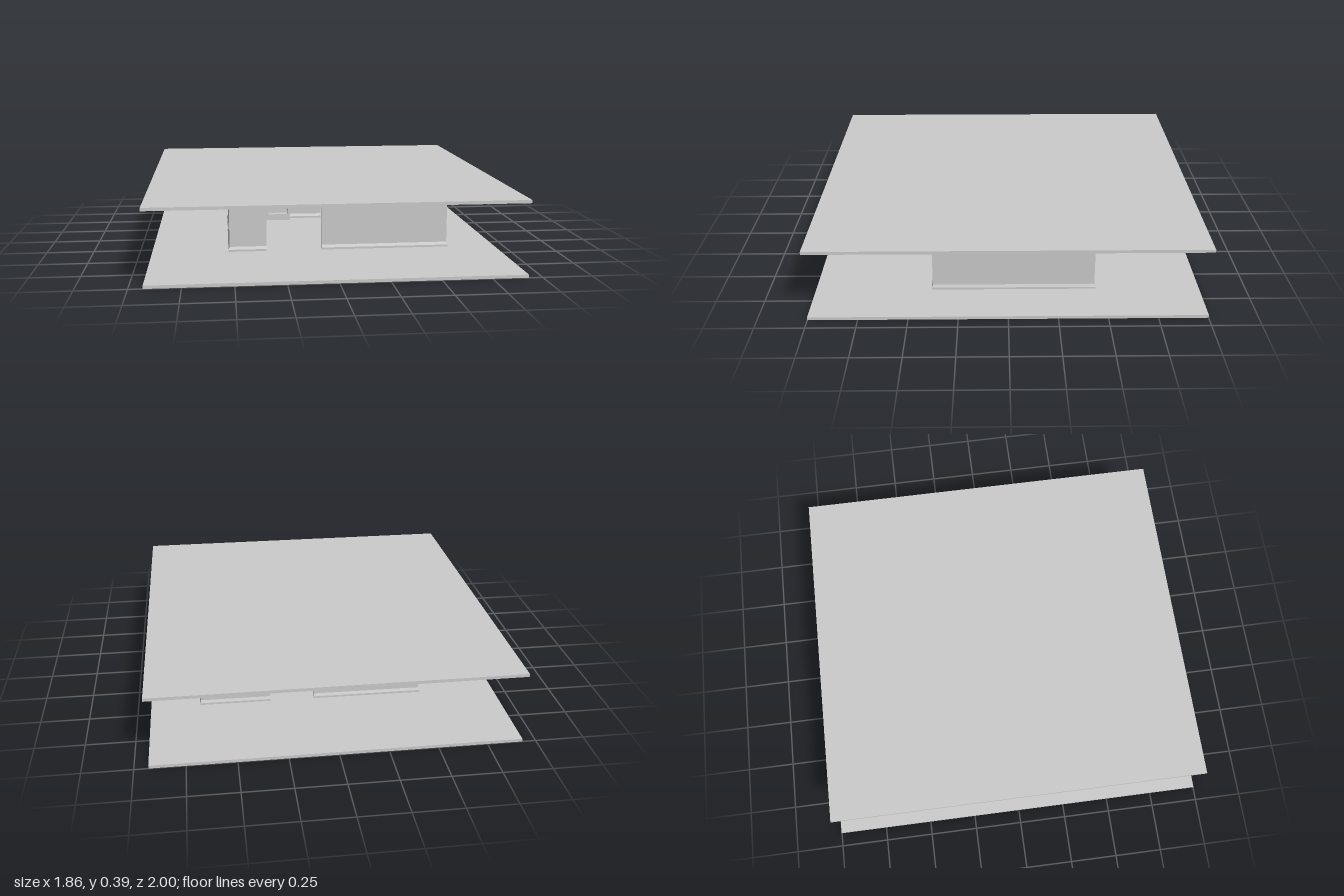
import * as THREE from 'three';

const material = new THREE.MeshStandardMaterial({ color: 0xcccccc, flatShading: true, side: THREE.DoubleSide });

function add(parent, name, geometry, x = 0, y = 0, z = 0) {
  const mesh = new THREE.Mesh(geometry, material);
  mesh.name = name;
  mesh.position.set(x, y, z);
  parent.add(mesh);
  return mesh;
}

// Sweeps a closed profile [inward offset, height] along a floor-plan path with mitred corners.
function sweepWall(path, profile) {
  const pts = path.map(([x, z]) => new THREE.Vector2(x, z));
  const inward = pts.slice(1).map((p, i) => {
    const d = p.clone().sub(pts[i]).normalize();
    return new THREE.Vector2(d.y, -d.x);
  });
  const rings = pts.map((p, i) => {
    const a = inward[Math.max(i - 1, 0)];
    const b = inward[Math.min(i, inward.length - 1)];
    const miter = a.clone().add(b).divideScalar(1 + a.dot(b));
    return profile.map(([o, y]) => [p.x + miter.x * o, y, p.y + miter.y * o]);
  });
  const pos = [];
  const tri = (...corners) => corners.forEach((c) => pos.push(...c));
  for (let k = 0; k < rings.length - 1; k++) {
    const A = rings[k], B = rings[k + 1];
    for (let i = 0; i < profile.length; i++) {
      const j = (i + 1) % profile.length;
      tri(A[i], A[j], B[j]);
      tri(A[i], B[j], B[i]);
    }
  }
  // End caps at the openings
  const first = rings[0], last = rings[rings.length - 1];
  const faces = THREE.ShapeUtils.triangulateShape(profile.map(([o, y]) => new THREE.Vector2(o, y)), []);
  for (const [a, b, c] of faces) {
    tri(first[a], first[c], first[b]);
    tri(last[a], last[b], last[c]);
  }
  const geometry = new THREE.BufferGeometry();
  geometry.setAttribute('position', new THREE.Float32BufferAttribute(pos, 3));
  geometry.computeVertexNormals();
  return geometry;
}

export function createModel() {
  const model = new THREE.Group();
  model.name = 'roomModel';

  // Floor and ceiling slabs
  const slab = 0.016, height = 0.387;
  const floorTop = slab, ceiling = height - slab;
  add(model, 'floorSlab', new THREE.BoxGeometry(1.86, slab, 2), 0, slab / 2, 0);
  add(model, 'ceilingSlab', new THREE.BoxGeometry(1.86, slab, 2), 0, height - slab / 2, 0);

  // Wall section with a bevelled baseboard on both faces
  const t = 0.02, b = 0.006;
  const profile = [
    [-b, floorTop], [t + b, floorTop], [t + b, 0.027], [t, 0.042],
    [t, ceiling], [0, ceiling], [0, 0.042], [-b, 0.027],
  ];

  // Three wall runs, leaving full-height openings at the front, back and one side
  const walls = new THREE.Group();
  walls.name = 'walls';
  model.add(walls);
  const runs = {
    rightWall: [[-0.02, 0.39], [0.665, 0.39], [0.665, -0.452], [0.295, -0.455]],
    backCornerWall: [[0.06, -0.457], [-0.518, -0.462], [-0.518, -0.22]],
    frontCornerWall: [[-0.518, -0.094], [-0.518, 0.39], [-0.32, 0.39]],
  };
  for (const [name, path] of Object.entries(runs)) add(walls, name, sweepWall(path, profile));

  // Fireplace against the back wall
  const fireplace = new THREE.Group();
  fireplace.name = 'fireplace';
  fireplace.position.set(-0.21, 0, -0.442);
  model.add(fireplace);
  const surround = new THREE.Shape();
  surround.moveTo(-0.075, floorTop).lineTo(0.075, floorTop).lineTo(0.075, 0.121).lineTo(-0.075, 0.121).closePath();
  const opening = new THREE.Path();
  opening.moveTo(-0.06, 0.053).lineTo(-0.06, 0.104).lineTo(0.06, 0.104).lineTo(0.06, 0.053).closePath();
  surround.holes.push(opening);
  add(fireplace, 'surround', new THREE.ExtrudeGeometry(surround, { depth: 0.06, bevelEnabled: false }));
  add(fireplace, 'fireback', new THREE.BoxGeometry(0.12, 0.051, 0.01), 0, 0.0785, 0.01);
  add(fireplace, 'mantel', new THREE.BoxGeometry(0.21, 0.014, 0.08), 0, 0.128, 0.04);

  return model;
}
